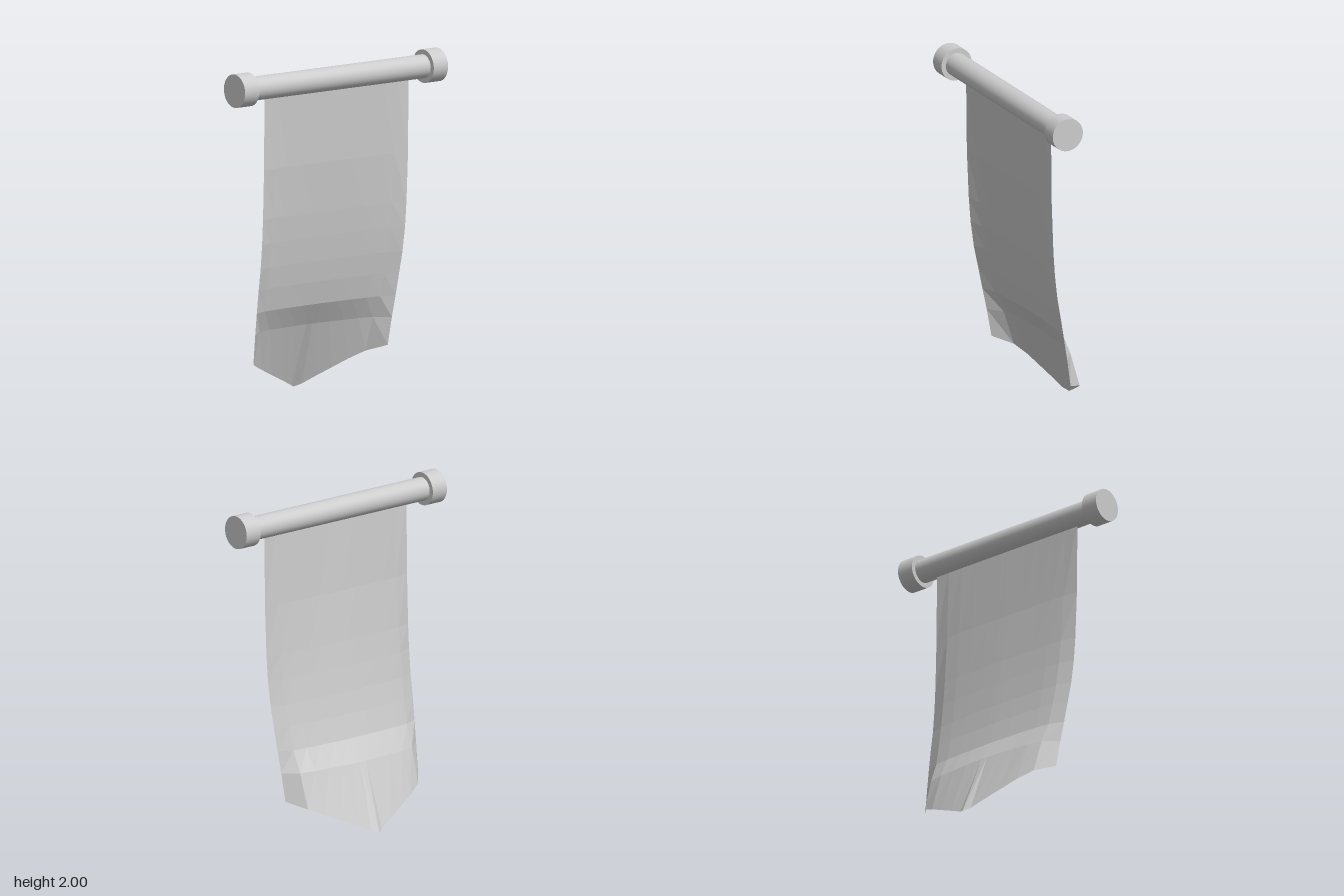
import * as THREE from 'three';

const material = new THREE.MeshStandardMaterial({ color: 0xcccccc });
const clothMaterial = new THREE.MeshStandardMaterial({
  color: 0xcccccc, flatShading: true, side: THREE.DoubleSide,
});

// Cylinder lying along z
function barAlongZ(name, radius, length, z) {
  const geometry = new THREE.CylinderGeometry(radius, radius, length, 40);
  geometry.rotateX(Math.PI / 2);
  const mesh = new THREE.Mesh(geometry, material);
  mesh.name = name;
  mesh.position.set(0.153, 1.9, z);
  return mesh;
}

// Hanging cloth: rows of [height, x at the side edges, x at the middle, half width]
const rows = [
  [1.86, 0.152, 0.151, 0.545],
  [1.4, 0.147, 0.128, 0.545],
  [1.1, 0.135, 0.098, 0.543],
  [0.95, 0.124, 0.078, 0.541],
  [0.8, 0.105, 0.055, 0.537],
  [0.67, 0.08, 0.03, 0.532],
  [0.53, 0.054, -0.005, 0.525],
  [0.4, 0.03, -0.08, 0.517],
  [0, -0.035, -0.235, 0.508],
];
// Columns of [position across the half width, how far it billows towards the middle line]
const half = [[1, 0], [0.83, 0.62], [0.65, 0.8], [0.45, 0.88], [0.25, 0.95], [0.08, 0.99]];
const columns = [
  ...half.map(([u, b]) => [-u, b]),
  [0, 1],
  ...half.slice().reverse(),
];

function clothGeometry() {
  const positions = [];
  const indices = [];
  const n = columns.length;
  const last = rows.length - 1;
  rows.forEach(([rowY, edge, middle, width], r) => {
    columns.forEach(([u, billow]) => {
      let y = rowY;
      let e = edge;
      let m = middle;
      if (r === last) {
        // Pointed hem, with a small pinch at the tip
        y = 0.23 * Math.abs(u);
        const t = y / rows[last - 1][0];
        e = THREE.MathUtils.lerp(edge, rows[last - 1][1], t);
        m = THREE.MathUtils.lerp(middle, rows[last - 1][2], t);
        if (u === 0) m -= 0.02;
      }
      positions.push(THREE.MathUtils.lerp(e, m, billow), y, u * width - 0.005);
    });
  });
  for (let r = 0; r < last; r++) {
    for (let c = 0; c < n - 1; c++) {
      const a = r * n + c;
      indices.push(a, a + 1, a + n, a + 1, a + n + 1, a + n);
    }
  }
  const geometry = new THREE.BufferGeometry();
  geometry.setAttribute('position', new THREE.Float32BufferAttribute(positions, 3));
  geometry.setIndex(indices);
  geometry.computeVertexNormals();
  return geometry;
}

export function createModel() {
  const model = new THREE.Group();
  model.name = 'hangingBanner';

  // Rod with an end cap on each side
  model.add(barAlongZ('rod', 0.071, 1.36, 0));
  model.add(barAlongZ('frontCap', 0.1, 0.108, 0.714));
  model.add(barAlongZ('backCap', 0.1, 0.108, -0.714));

  const cloth = new THREE.Mesh(clothGeometry(), clothMaterial);
  cloth.name = 'cloth';
  model.add(cloth);
  return model;
}
